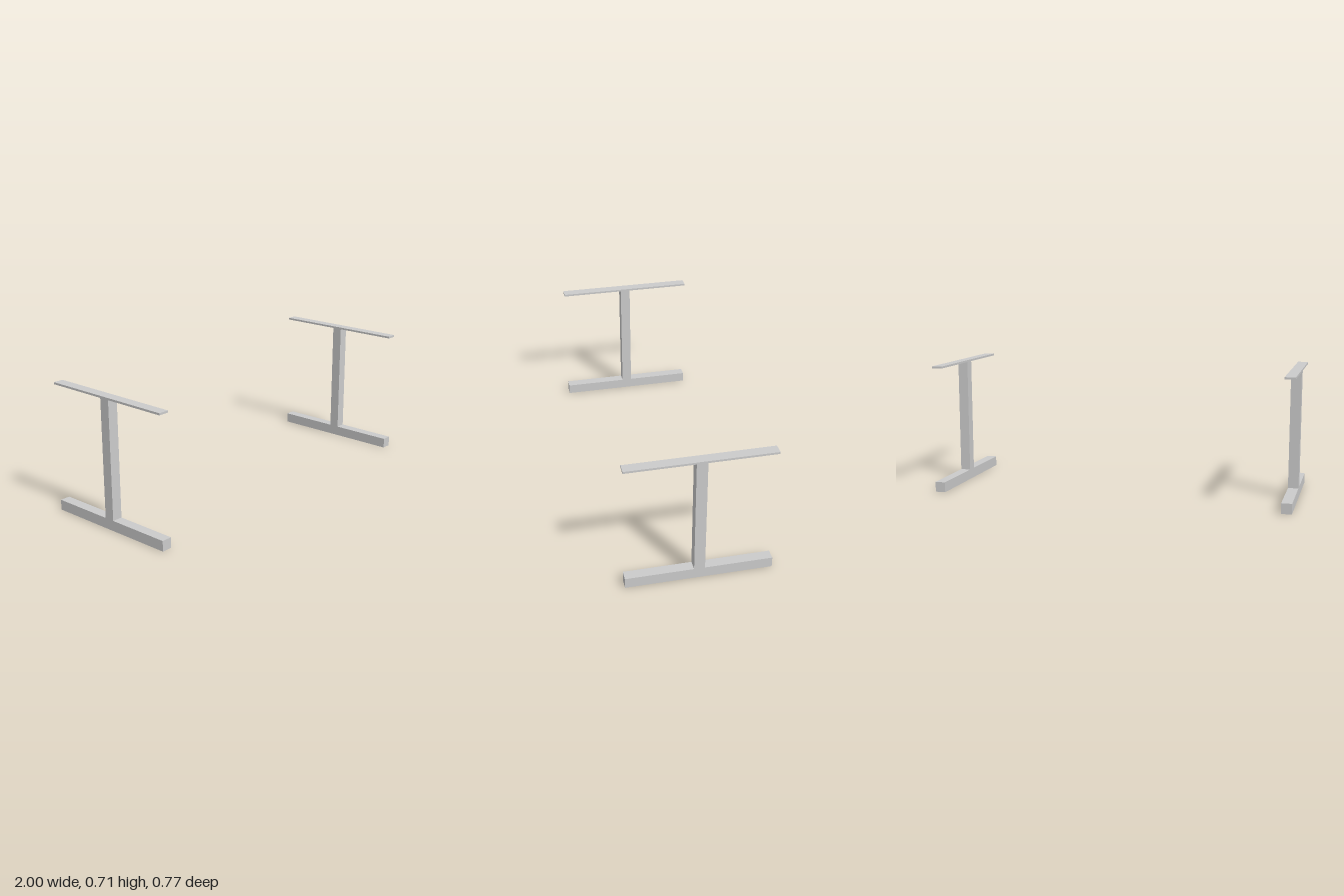
import * as THREE from 'three';

const BEAM = 0.057;      // square section of foot and post
const DEPTH = 0.77;      // length of foot and top plate along z
const PLATE_Y = 0.702;   // underside of the top plate
const HEIGHT = 0.713;

export function createModel() {
  const model = new THREE.Group();
  model.name = 'tableLegFrames';
  const material = new THREE.MeshStandardMaterial({ color: 0xcccccc, flatShading: true });

  // Box spanning y0..y1, centred on its frame
  const bar = (name, y0, y1, depth) => {
    const mesh = new THREE.Mesh(new THREE.BoxGeometry(BEAM, y1 - y0, depth), material);
    mesh.name = name;
    mesh.position.y = (y0 + y1) / 2;
    return mesh;
  };

  // One I-shaped frame at each end
  for (const [side, sign] of [['left', 1], ['right', -1]]) {
    const frame = new THREE.Group();
    frame.name = `${side}Frame`;
    frame.position.x = sign * (1 - BEAM / 2);
    frame.add(
      bar('foot', 0, BEAM, DEPTH),
      bar('post', BEAM, PLATE_Y, BEAM),
      bar('topPlate', PLATE_Y, HEIGHT, DEPTH),
    );
    model.add(frame);
  }
  return model;
}
